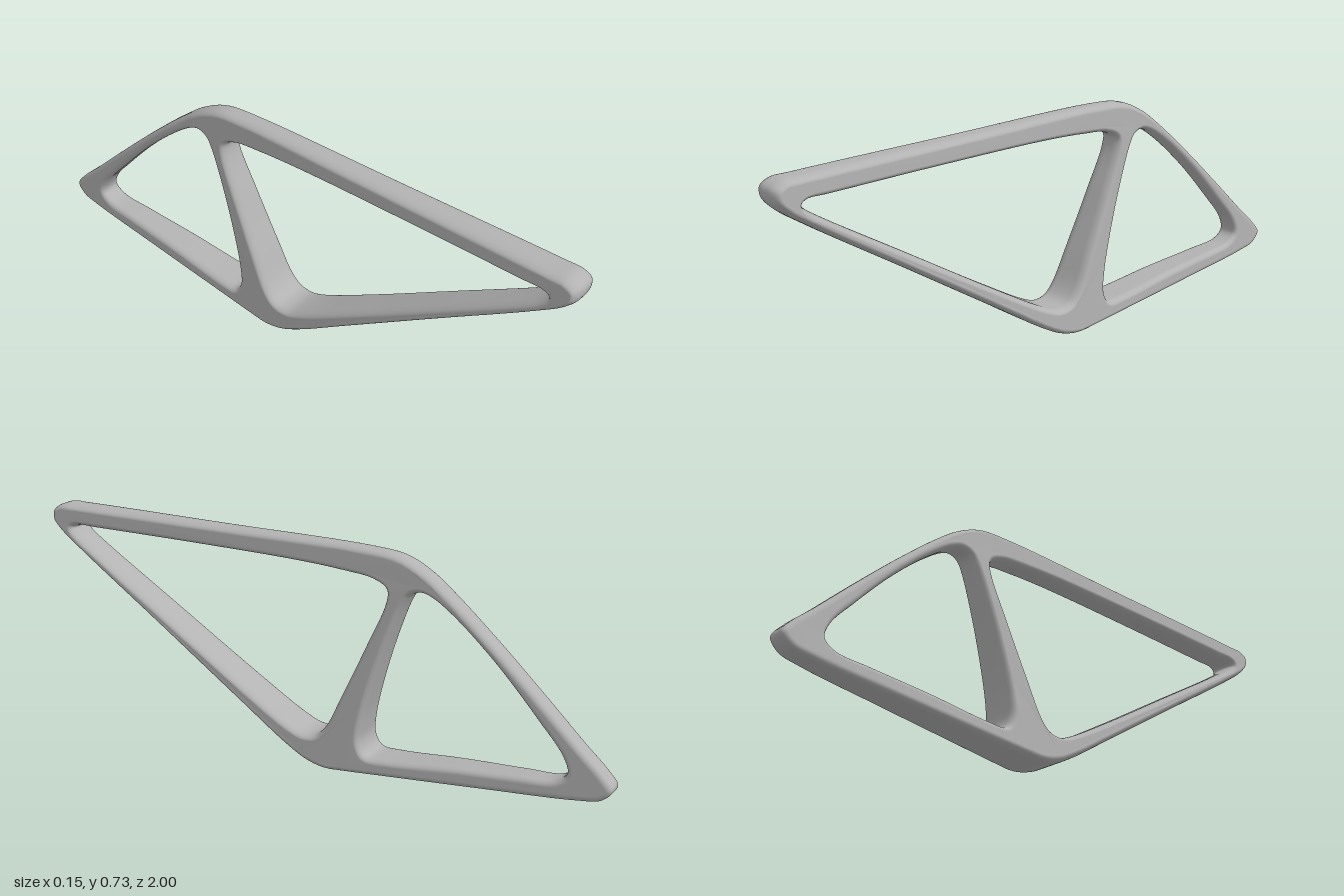
import * as THREE from 'three';
import { mergeVertices } from 'three/addons/utils/BufferGeometryUtils.js';

// Side profiles as [z, y] pairs
const OUTER = [
  [0.997, 0.705], [0.965, 0.725], [0.9, 0.727], [0.35, 0.727], [-0.2, 0.726], [-0.31, 0.714],
  [-0.393, 0.676], [-0.473, 0.617], [-0.607, 0.502], [-0.767, 0.354], [-0.9, 0.227], [-0.97, 0.163],
  [-1, 0.122], [-0.97, 0.087], [-0.9, 0.072], [-0.607, 0.045], [-0.286, 0.018], [-0.152, 0.007],
  [-0.07, 0.003], [-0.008, 0.017], [0.06, 0.051], [0.25, 0.172], [0.57, 0.377], [0.89, 0.581],
  [0.97, 0.638], [0.998, 0.672],
];
const FRONT_HOLE = [
  [0.9, 0.659], [0.83, 0.659], [0.46, 0.659], [0.035, 0.654], [-0.126, 0.645], [-0.22, 0.634],
  [-0.266, 0.61], [-0.265, 0.57], [-0.206, 0.43], [-0.126, 0.254], [-0.072, 0.142], [-0.04, 0.11],
  [0.003, 0.104], [0.06, 0.124], [0.25, 0.232], [0.57, 0.427], [0.837, 0.59], [0.9, 0.633], [0.915, 0.65],
];
const REAR_HOLE = [
  [-0.38, 0.614], [-0.42, 0.602], [-0.5, 0.548], [-0.634, 0.43], [-0.767, 0.29], [-0.848, 0.195],
  [-0.863, 0.147], [-0.83, 0.121], [-0.714, 0.11], [-0.5, 0.094], [-0.286, 0.072], [-0.217, 0.074],
  [-0.196, 0.11], [-0.2, 0.174], [-0.233, 0.307], [-0.286, 0.468], [-0.33, 0.575], [-0.35, 0.604],
];

// Smooth closed loop through the profile points
function loop(points, perSpan) {
  const curve = new THREE.CatmullRomCurve3(
    points.map(([z, y]) => new THREE.Vector3(z, y, 0)), true, 'centripetal');
  return curve.getPoints(points.length * perSpan).slice(0, -1).map(p => new THREE.Vector2(p.x, p.y));
}

// Half width: widest at the bottom junction, tapering to the front, top and rear corners
function halfWidth(z, y) {
  const front = 0.075 + 0.0115 * (z + 0.05) - 0.054 * (y - 0.05);
  const rear = 0.075 + 0.0388 * (z + 0.05) - 0.0412 * (y - 0.05);
  return Math.min(front, rear, 0.075);
}

export function createModel() {
  const group = new THREE.Group();
  group.name = 'frame';
  const grey = new THREE.MeshStandardMaterial({ color: 0xb2b2b2 });
  grey.name = 'grey';

  // One continuous body with two openings and rounded edges
  const shape = new THREE.Shape(loop(OUTER, 6));
  shape.holes.push(new THREE.Path(loop(FRONT_HOLE, 6)), new THREE.Path(loop(REAR_HOLE, 6)));
  const round = 0.017;
  let geometry = new THREE.ExtrudeGeometry(shape, {
    depth: 1, steps: 1, curveSegments: 1,
    bevelEnabled: true, bevelThickness: 0.5, bevelSize: round, bevelOffset: -round, bevelSegments: 8,
  });

  // Turn the profile sideways, apply the taper and make the upper tubes rounder
  const pos = geometry.attributes.position;
  for (let i = 0; i < pos.count; i++) {
    const z = pos.getX(i), y = pos.getY(i), u = pos.getZ(i) - 0.5;
    const w = halfWidth(z, y);
    const edge = w * (0.35 + 0.65 * y);
    const a = Math.abs(u);
    const x = a <= 0.5 ? (a / 0.5) * (w - edge) : w - edge + (a - 0.5) / 0.5 * edge;
    pos.setXYZ(i, -Math.sign(u) * x, y, z);
  }

  // Smooth normals over the whole surface
  geometry.deleteAttribute('uv');
  geometry.deleteAttribute('normal');
  geometry.clearGroups();
  geometry = mergeVertices(geometry, 1e-5);
  geometry.computeVertexNormals();

  const body = new THREE.Mesh(geometry, grey);
  body.name = 'frameBody';
  group.add(body);
  return group;
}
